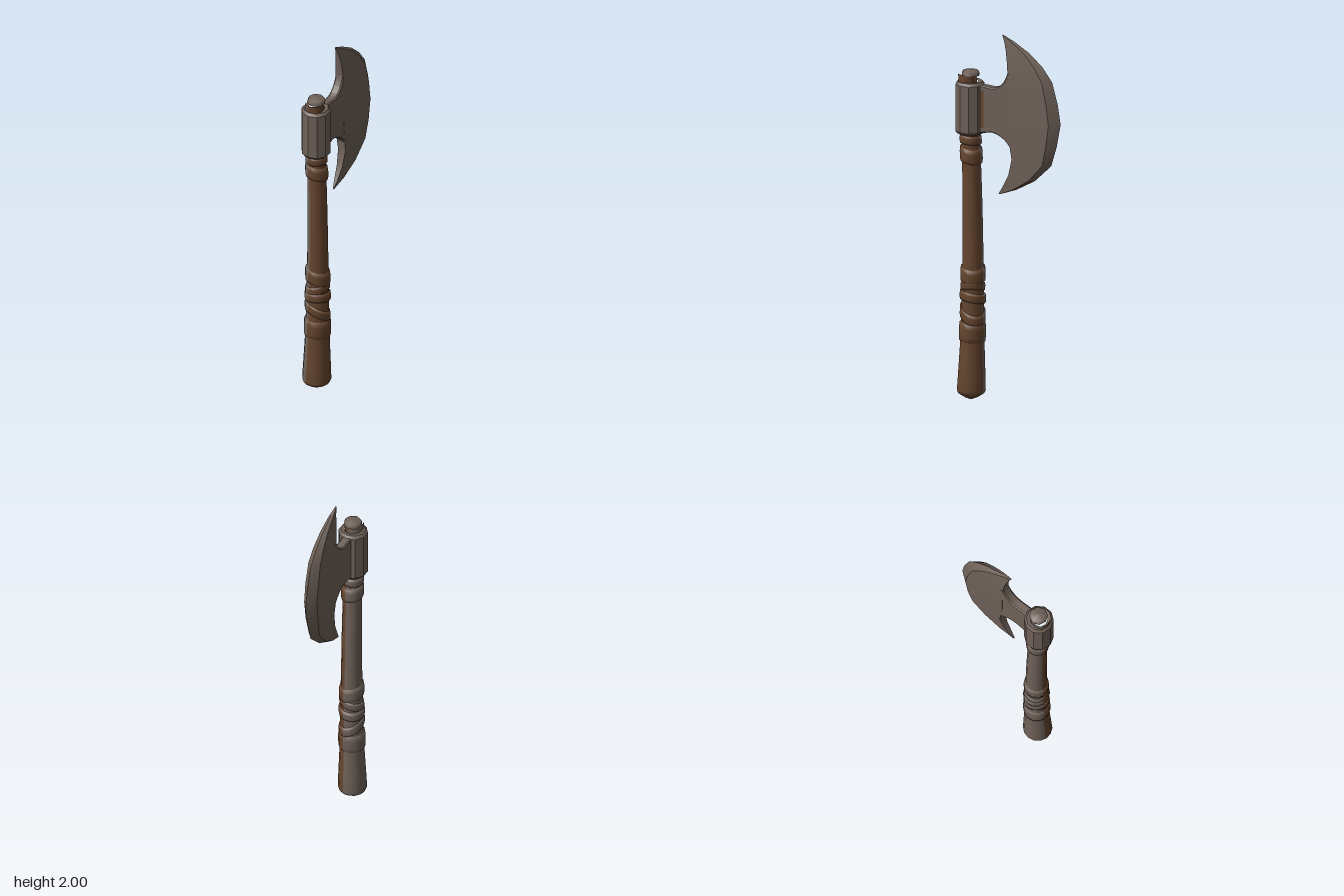
import * as THREE from 'three';
import { toCreasedNormals } from 'three/addons/utils/BufferGeometryUtils.js';

export function createModel() {
  const axe = new THREE.Group();
  axe.name = 'battleAxe';
  const mat = (name, color) => {
    const m = new THREE.MeshStandardMaterial({ color });
    m.name = name;
    return m;
  };
  const iron = mat('dullIron', 0x6f6259);
  const wood = mat('brownWood', 0x65452e);
  const add = (name, geometry, material) => {
    const mesh = new THREE.Mesh(geometry, material);
    mesh.name = name;
    axe.add(mesh);
    return mesh;
  };

  // The shaft bows gently; this gives its centre line
  const centre = (y) => 0.205 + 0.017 * Math.pow((y - 0.8) / 0.7, 2) * (y > 0.8 ? 1 : 0.5);

  // Turned part following the shaft: brown on the left half, grey on the right half
  const brownStart = -0.28, brownLength = 3.2;
  const turned = (name, profile, tiltX = 0, tiltZ = 0) => {
    const points = profile.map(([r, y]) => new THREE.Vector2(r, y));
    const halves = [
      ['Brown', wood, brownStart, brownLength],
      ['Grey', iron, brownStart + brownLength, Math.PI * 2 - brownLength],
    ];
    for (const [suffix, material, start, length] of halves) {
      const g = new THREE.LatheGeometry(points, 7, start, length);
      const p = g.attributes.position;
      for (let i = 0; i < p.count; i++) {
        const x = p.getX(i), y = p.getY(i), z = p.getZ(i);
        p.setXYZ(i, x, y + tiltX * x + tiltZ * z, z + centre(y));
      }
      add(name + suffix, g, material);
    }
  };

  // Shaft with a flared, pointed butt
  turned('shaft', [
    [0, 0.004], [0.04, 0.022], [0.07, 0.042], [0.077, 0.06], [0.073, 0.15], [0.066, 0.3],
    [0.062, 0.45], [0.059, 0.65], [0.055, 0.85], [0.053, 1.05], [0.051, 1.25], [0.049, 1.5], [0.049, 1.77],
  ]);

  // Wrapped bindings: [height, band width, radius, tilt across x, tilt across z]
  const bindings = [
    [1.415, 0.05, 0.059, 0.05, 0.05],
    [1.335, 0.085, 0.061, -0.12, 0.15],
    [0.69, 0.085, 0.067, -0.2, 0.1],
    [0.62, 0.05, 0.066, 0.25, -0.1],
    [0.565, 0.055, 0.07, 0.1, 0.15],
    [0.475, 0.06, 0.069, -0.35, 0.4],
    [0.375, 0.11, 0.072, 0, 0.05],
  ];
  bindings.forEach(([y, w, r, tx, tz], i) => turned('binding' + (i + 1), [
    [r - 0.015, y - w / 2], [r - 0.002, y - w * 0.42], [r, y - w * 0.2],
    [r, y + w * 0.2], [r - 0.002, y + w * 0.42], [r - 0.015, y + w / 2],
  ], tx, tz));

  // Domed end of the shaft above the socket
  const cap = new THREE.LatheGeometry(
    [[0.049, 1.762], [0.049, 1.772], [0.042, 1.786], [0, 1.792]].map(([r, y]) => new THREE.Vector2(r, y)), 8);
  add('shaftCap', cap, iron).position.z = 0.219;

  // Faceted iron socket
  const socket = new THREE.LatheGeometry([
    [0.046, 1.45], [0.066, 1.448], [0.078, 1.462], [0.078, 1.715], [0.066, 1.73], [0.046, 1.728],
  ].map(([r, y]) => new THREE.Vector2(r, y)), 10);
  add('socket', toCreasedNormals(socket, 0.5), iron).position.z = 0.222;

  // Neck joining socket and blade, drawn with -z to the right
  const outline = new THREE.Shape();
  outline.moveTo(-0.18, 1.46);
  outline.lineTo(-0.09, 1.475);
  outline.quadraticCurveTo(-0.02, 1.465, 0.022, 1.40);
  outline.lineTo(0.1, 1.45);
  outline.lineTo(0.1, 1.75);
  outline.lineTo(0.008, 1.80);
  outline.quadraticCurveTo(-0.015, 1.715, -0.08, 1.705);
  outline.lineTo(-0.18, 1.715);
  const neck = new THREE.ExtrudeGeometry(outline, {
    depth: 0.036, curveSegments: 6, bevelEnabled: true, bevelThickness: 0.007, bevelSize: 0.006, bevelSegments: 1,
  });
  neck.translate(0, 0, -0.018).rotateY(Math.PI / 2);
  add('neck', neck, iron);

  // Rusty strip beside the socket
  const strip = new THREE.BoxGeometry(0.004, 0.2, 0.022);
  add('rustStrip', strip, wood).position.set(0.0255, 1.59, 0.144);

  // Crescent blade: [inner z, inner y, edge z, edge y, half thickness], bottom to top
  const sections = [
    [0.057, 1.137, 0.05, 1.135, 0.003],
    [0.03, 1.18, -0.04, 1.167, 0.014],
    [-0.005, 1.245, -0.15, 1.228, 0.024],
    [-0.027, 1.335, -0.245, 1.32, 0.032],
    [-0.015, 1.42, -0.277, 1.43, 0.037],
    [-0.005, 1.53, -0.299, 1.55, 0.038],
    [-0.005, 1.65, -0.282, 1.66, 0.038],
    [-0.005, 1.78, -0.25, 1.775, 0.035],
    [0.0, 1.85, -0.195, 1.85, 0.029],
    [0.01, 1.92, -0.12, 1.917, 0.021],
    [0.02, 1.96, -0.03, 1.972, 0.012],
    [0.035, 2.0, 0.029, 1.998, 0.003],
  ];
  const rings = sections.map(([zi, yi, zo, yo, t]) => {
    const zr = zi + (zo - zi) * 0.82, yr = yi + (yo - yi) * 0.82;
    return [[t * 0.7, yi, zi], [t, yr, zr], [0, yo, zo], [-t, yr, zr], [-t * 0.7, yi, zi]];
  });
  const plain = [], rusty = [];
  for (let s = 0; s < rings.length - 1; s++) {
    for (let i = 0; i < 5; i++) {
      const j = (i + 1) % 5;
      const a = rings[s][i], b = rings[s][j], c = rings[s + 1][j], d = rings[s + 1][i];
      const list = s === 1 && i === 1 ? rusty : plain;
      list.push(...a, ...b, ...c, ...a, ...c, ...d);
    }
  }
  // Close both tips
  const first = rings[0], last = rings[rings.length - 1];
  for (let i = 1; i < 4; i++) {
    plain.push(...first[0], ...first[i + 1], ...first[i]);
    plain.push(...last[0], ...last[i], ...last[i + 1]);
  }
  const blade = new THREE.BufferGeometry();
  blade.setAttribute('position', new THREE.Float32BufferAttribute([...plain, ...rusty], 3));
  blade.addGroup(0, plain.length / 3, 0);
  blade.addGroup(plain.length / 3, rusty.length / 3, 1);
  add('blade', toCreasedNormals(blade, 0.6), [iron, wood]);

  return axe;
}
